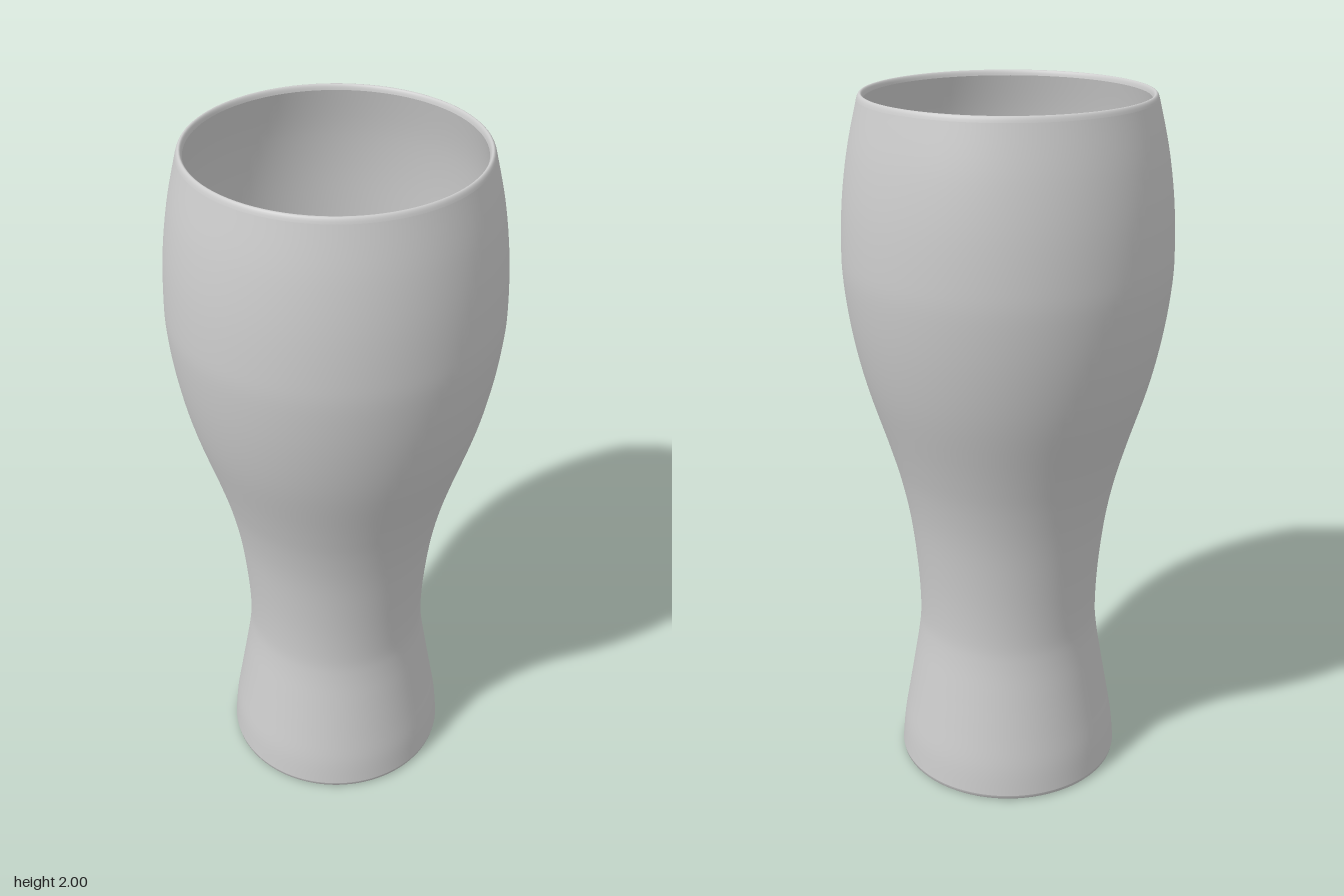
import * as THREE from 'three';

const SEGMENTS = 96;
const WALL = 0.03;
const FLOOR = 0.06;

// Outer silhouette as [radius, height], from foot to rim
const OUTER = [
  [0.328, 0.015], [0.32, 0.1], [0.303, 0.2], [0.284, 0.31], [0.268, 0.41], [0.262, 0.49],
  [0.267, 0.62], [0.284, 0.78], [0.309, 0.91], [0.342, 1.03], [0.397, 1.21], [0.43, 1.36],
  [0.448, 1.5], [0.45, 1.6], [0.442, 1.73], [0.423, 1.86], [0.394, 1.985],
];

function createModel() {
  const glass = new THREE.Group();
  glass.name = 'beerGlass';
  const material = new THREE.MeshStandardMaterial({ color: 0xcccccc });

  // Each part is its own lathe, so edges between parts stay sharp
  const addLathe = (name, points) => {
    const mesh = new THREE.Mesh(new THREE.LatheGeometry(points, SEGMENTS), material);
    mesh.name = name;
    glass.add(mesh);
  };
  const v = (r, y) => new THREE.Vector2(r, y);

  const outer = new THREE.SplineCurve(OUTER.map(([r, y]) => v(r, y))).getPoints(72);

  // Inner wall: the silhouette moved inward, thinning towards the rim, from rim to floor
  const inner = outer
    .filter((p) => p.y > FLOOR)
    .map((p) => v(p.x - THREE.MathUtils.lerp(WALL, 0.018, THREE.MathUtils.smoothstep(p.y, 1.6, 2)), p.y))
    .reverse();
  const last = inner[inner.length - 1];
  inner.push(v(last.x, FLOOR));

  addLathe('underside', [v(0, 0), v(0.32, 0)]);
  addLathe('footEdge', [v(0.32, 0), v(0.326, 0.005), v(0.328, 0.015)]);
  addLathe('outerWall', outer);

  // Rounded lip joining the outer and inner walls
  const lip = new THREE.CubicBezierCurve(
    outer[outer.length - 1], v(0.389, 2.005), v(0.379, 2.005), inner[0]);
  addLathe('rim', lip.getPoints(10));

  addLathe('innerWall', inner);
  addLathe('innerFloor', [v(last.x, FLOOR), v(0, FLOOR)]);

  return glass;
}

export { createModel };
